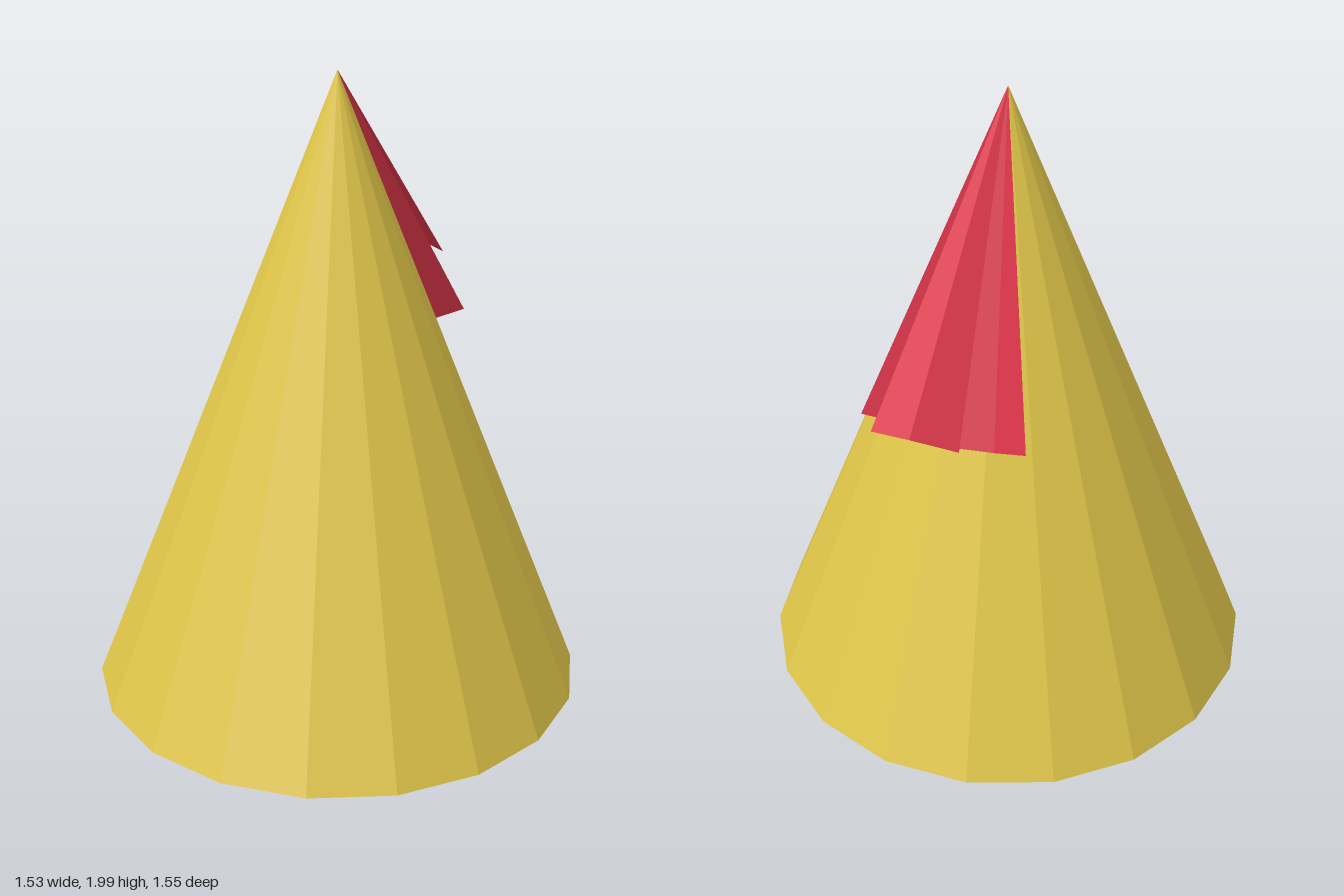
import * as THREE from 'three';

const HEIGHT = 1.99;

// A folded streamer: a narrow strip fanning from the tip, creased down the middle.
function streamer(name, ends, material) {
  const tip = [0, HEIGHT, 0];
  const positions = [];
  for (let i = 0; i < ends.length - 1; i++) positions.push(...tip, ...ends[i], ...ends[i + 1]);
  const geometry = new THREE.BufferGeometry();
  geometry.setAttribute('position', new THREE.Float32BufferAttribute(positions, 3));
  geometry.computeVertexNormals();
  const mesh = new THREE.Mesh(geometry, material);
  mesh.name = name;
  return mesh;
}

export function createModel() {
  const group = new THREE.Group();
  group.name = 'partyHat';
  const yellow = new THREE.MeshStandardMaterial({ color: 0xe0c64a, flatShading: true, side: THREE.DoubleSide });
  const red = new THREE.MeshStandardMaterial({ color: 0xd83448, flatShading: true, side: THREE.DoubleSide });

  // Hollow paper cone, open underneath
  const cone = new THREE.Mesh(new THREE.ConeGeometry(0.775, HEIGHT, 18, 1, true), yellow);
  cone.position.y = HEIGHT / 2;
  cone.name = 'hatCone';
  group.add(cone);

  // Three streamers hanging from the tip at the back
  group.add(
    streamer('middleStreamer', [[0.04, 1.22, -0.705], [-0.1, 1.255, -0.725], [-0.21, 1.2, -0.645]], red),
    streamer('leftStreamer', [[0.2, 1.105, -0.518], [0.08, 1.06, -0.447], [-0.055, 1.075, -0.495]], red),
    streamer('rightStreamer', [[-0.085, 1.095, -0.525], [-0.213, 1.075, -0.457], [-0.34, 1.14, -0.498]], red)
  );
  return group;
}
